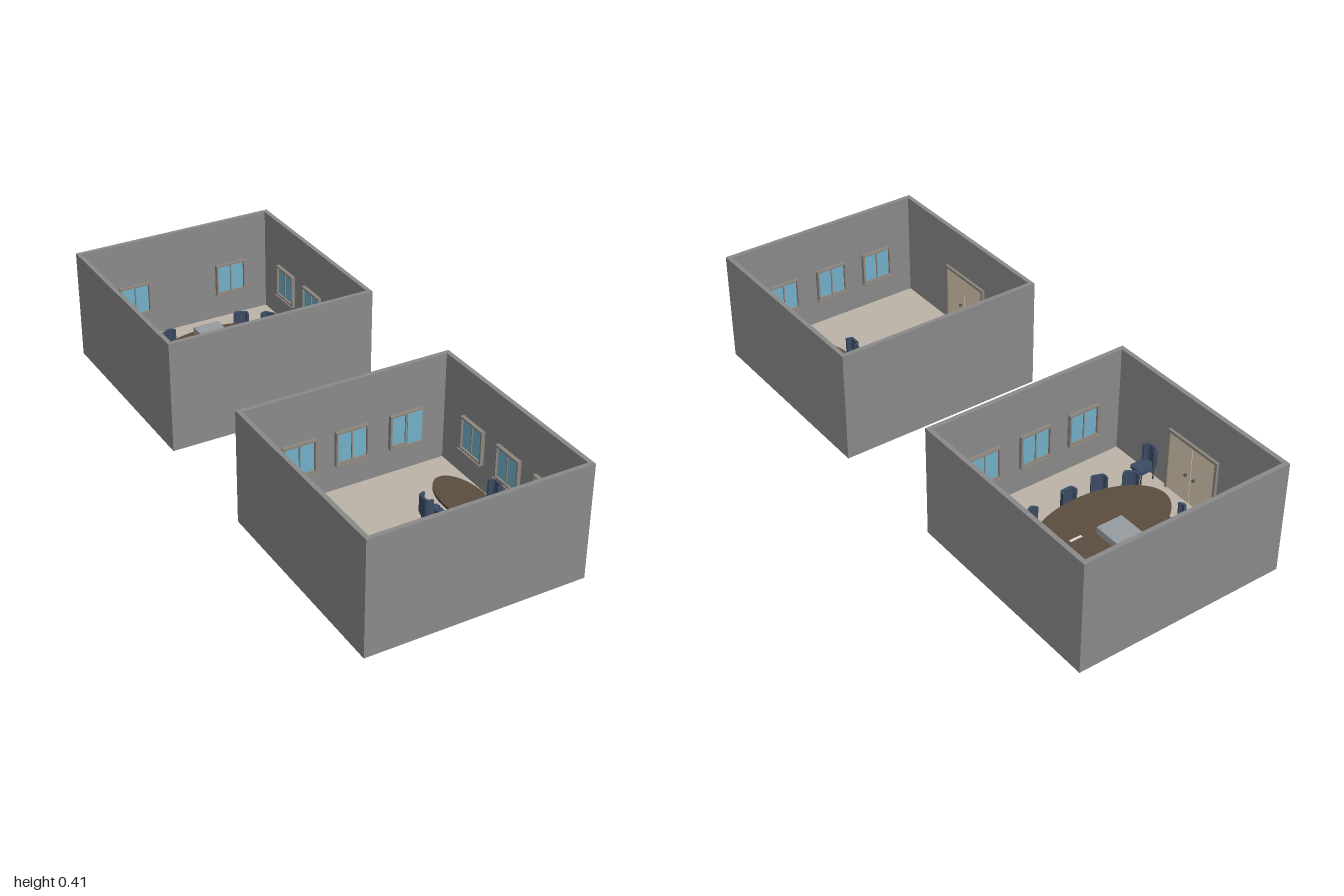
import * as THREE from 'three';

const mat = (name, color) => {
  const m = new THREE.MeshStandardMaterial({ color });
  m.name = name;
  return m;
};
const WALL = mat('wall grey', 0x8a8a8a);
const FLOOR = mat('floor beige', 0xbdb4a8);
const WOOD = mat('table brown', 0x5c4e40);
const CHAIR = mat('chair blue', 0x3c4c64);
const GLASS = mat('window blue', 0x73b0c8);
const FRAME = mat('frame grey', 0x8c867e);
const DOOR = mat('door cream', 0xd9c9b4);
const METAL = mat('dark metal', 0x3a3a3c);
const DEVICE = mat('device grey', 0x969ca0);
const PAPER = mat('paper white', 0xdcdcd8);

const HALF = 0.383, WALL_T = 0.016, INNER = HALF - WALL_T, HEIGHT = 0.405, FLOOR_Y = 0.016;
const ROOM_Z = 0.617;

function add(parent, name, geo, material, x = 0, y = 0, z = 0) {
  const m = new THREE.Mesh(geo, material);
  m.name = name;
  m.position.set(x, y, z);
  parent.add(m);
  return m;
}
const box = (w, h, d) => new THREE.BoxGeometry(w, h, d);

function group(parent, name, x = 0, y = 0, z = 0, turn = 0) {
  const g = new THREE.Group();
  g.name = name;
  g.position.set(x, y, z);
  g.rotation.y = turn;
  parent.add(g);
  return g;
}

// Upright extrusion of a plan outline; outline +y becomes -z
function plan(shape, h) {
  const g = new THREE.ExtrudeGeometry(shape, { depth: h, bevelEnabled: false, curveSegments: 8 });
  return g.rotateX(-Math.PI / 2);
}

// Two-pane window whose back lies on z = 0, facing +z
function addWindow(parent, x, z, turn, open = false) {
  const w = group(parent, 'window', x, 0.175, z, turn);
  for (const s of [-1, 1]) {
    add(w, 'windowSide', box(0.007, 0.12, 0.014), FRAME, s * 0.0565, 0, 0.007);
    add(w, 'windowRail', box(0.106, 0.007, 0.014), FRAME, 0, s * 0.0565, 0.007);
    add(w, 'windowPane', box(0.052, 0.106, 0.004), GLASS, s * 0.0265, 0, 0.004);
  }
  add(w, 'windowMullion', box(0.004, 0.106, 0.01), FRAME, 0, 0, 0.005);
  add(w, 'windowSill', box(0.122, 0.005, 0.02), FRAME, 0, -0.0615, 0.01);
  if (open) add(w, 'openPane', box(0.055, 0.11, 0.004), GLASS, 0.028, 0, 0.017);
}

// Double door with frame, facing +z
function addDoor(parent, x, z, turn) {
  const d = group(parent, 'door', x, FLOOR_Y, z, turn);
  for (const s of [-1, 1]) {
    add(d, 'doorPost', box(0.01, 0.23, 0.01), FRAME, s * 0.109, 0.115, 0.005);
    add(d, 'doorLeaf', box(0.102, 0.218, 0.006), DOOR, s * 0.052, 0.109, 0.003);
    const knob = add(d, 'doorKnob', new THREE.SphereGeometry(0.005, 10, 8), METAL, s * 0.019, 0.105, 0.011);
    knob.scale.z = 1.2;
  }
  add(d, 'doorLintel', box(0.228, 0.01, 0.01), FRAME, 0, 0.225, 0.005);
}

const seatShape = new THREE.Shape();
seatShape.moveTo(-0.023, -0.037);
seatShape.lineTo(0.023, -0.037);
seatShape.quadraticCurveTo(0.028, -0.037, 0.028, -0.03);
seatShape.lineTo(0.028, 0.016);
seatShape.quadraticCurveTo(0.026, 0.032, 0.013, 0.032);
seatShape.lineTo(-0.013, 0.032);
seatShape.quadraticCurveTo(-0.026, 0.032, -0.028, 0.016);
seatShape.lineTo(-0.028, -0.03);
seatShape.quadraticCurveTo(-0.028, -0.037, -0.023, -0.037);

const backShape = new THREE.Shape();
backShape.moveTo(0.028, 0.012);
backShape.quadraticCurveTo(0.027, 0.037, 0.014, 0.037);
backShape.lineTo(-0.014, 0.037);
backShape.quadraticCurveTo(-0.027, 0.037, -0.028, 0.012);
backShape.lineTo(-0.021, 0.014);
backShape.quadraticCurveTo(-0.02, 0.028, -0.011, 0.029);
backShape.lineTo(0.011, 0.029);
backShape.quadraticCurveTo(0.02, 0.028, 0.021, 0.014);
backShape.closePath();

const seatGeo = plan(seatShape, 0.012), backGeo = plan(backShape, 0.062);
const chairLegGeo = new THREE.CylinderGeometry(0.0025, 0.002, 0.042, 8);

// Chair given by the middle of its back and the direction its back points to
function addChair(parent, tipX, tipZ, nx, nz) {
  const l = Math.hypot(nx, nz), ux = nx / l, uz = nz / l;
  const c = group(parent, 'chair', tipX - ux * 0.037, FLOOR_Y, tipZ - uz * 0.037, Math.atan2(-ux, -uz));
  add(c, 'chairSeat', seatGeo, CHAIR, 0, 0.042, 0);
  add(c, 'chairBack', backGeo, CHAIR, 0, 0.054, 0);
  for (const x of [-0.021, 0.021])
    for (const z of [-0.022, 0.029]) add(c, 'chairLeg', chairLegGeo, METAL, x, 0.021, z);
}

// Oval table on pedestals placed along its long axis
function addTable(parent, x, z, rx, rz, feet) {
  const t = group(parent, 'table', x, FLOOR_Y, z);
  const top = add(t, 'tableTop', new THREE.CylinderGeometry(1, 1, 0.01, 64), WOOD, 0, 0.093, 0);
  top.scale.set(rx, 1, rz);
  for (const [fx, fz] of feet) {
    add(t, 'tablePedestal', new THREE.CylinderGeometry(0.014, 0.014, 0.084, 20), WOOD, fx, 0.046, fz);
    add(t, 'tableFoot', new THREE.CylinderGeometry(0.035, 0.038, 0.006, 24), WOOD, fx, 0.003, fz);
  }
}

// Open-topped room shell with door and windows
function addRoom(parent, name, z, backWindows) {
  const r = group(parent, name, 0, 0, z);
  const outline = new THREE.Shape([[-1, -1], [1, -1], [1, 1], [-1, 1]].map(([a, b]) => new THREE.Vector2(a * HALF, b * HALF)));
  outline.holes.push(new THREE.Path([[-1, -1], [-1, 1], [1, 1], [1, -1]].map(([a, b]) => new THREE.Vector2(a * INNER, b * INNER))));
  add(r, 'walls', plan(outline, HEIGHT), WALL);
  add(r, 'floorSlab', box(INNER * 2, 0.01, INNER * 2), WALL, 0, 0.005, 0);
  add(r, 'floor', box(INNER * 2, 0.006, INNER * 2), FLOOR, 0, 0.013, 0);
  addDoor(r, -INNER, 0, Math.PI / 2);
  for (const x of backWindows) addWindow(r, x, -INNER, 0, z > 0 && x > 0.2);
  for (const x of [-0.215, -0.02, 0.18]) addWindow(r, x, INNER, Math.PI);
  for (const wz of [-0.195, 0, 0.195]) addWindow(r, INNER, wz, -Math.PI / 2);
  return r;
}

export function createModel() {
  const model = new THREE.Group();
  model.name = 'twoMeetingRooms';

  // Large meeting room
  const big = addRoom(model, 'largeRoom', -ROOM_Z, [-0.175, 0.215]);
  addTable(big, -0.002, -0.005, 0.249, 0.14, [[-0.11, 0], [0.11, 0]]);
  const tips = [
    [-0.24, -0.118], [-0.145, -0.171], [0.161, -0.171], [0.251, -0.113], [0.304, -0.002],
    [0.251, 0.109], [0.161, 0.162], [0, 0.178], [-0.124, 0.173], [-0.225, 0.125],
  ];
  for (const [x, z] of tips) addChair(big, x, z, x / 0.25, z / 0.14);
  addChair(big, -0.367, 0.184, -1, 0);
  add(big, 'tableDevice', box(0.098, 0.024, 0.1), DEVICE, -0.003, 0.126, -0.083);
  add(big, 'notePaper', box(0.044, 0.002, 0.008), PAPER, 0.113, 0.115, -0.018);

  // Small meeting room
  const small = addRoom(model, 'smallRoom', ROOM_Z, [-0.175, 0.015, 0.215]);
  addTable(small, 0.207, -0.008, 0.071, 0.138, [[0, 0]]);
  addChair(small, 0.082, -0.05, -1, 0);
  addChair(small, 0.082, 0.036, -1, 0);
  addChair(small, 0.338, -0.007, 1, 0);

  return model;
}
